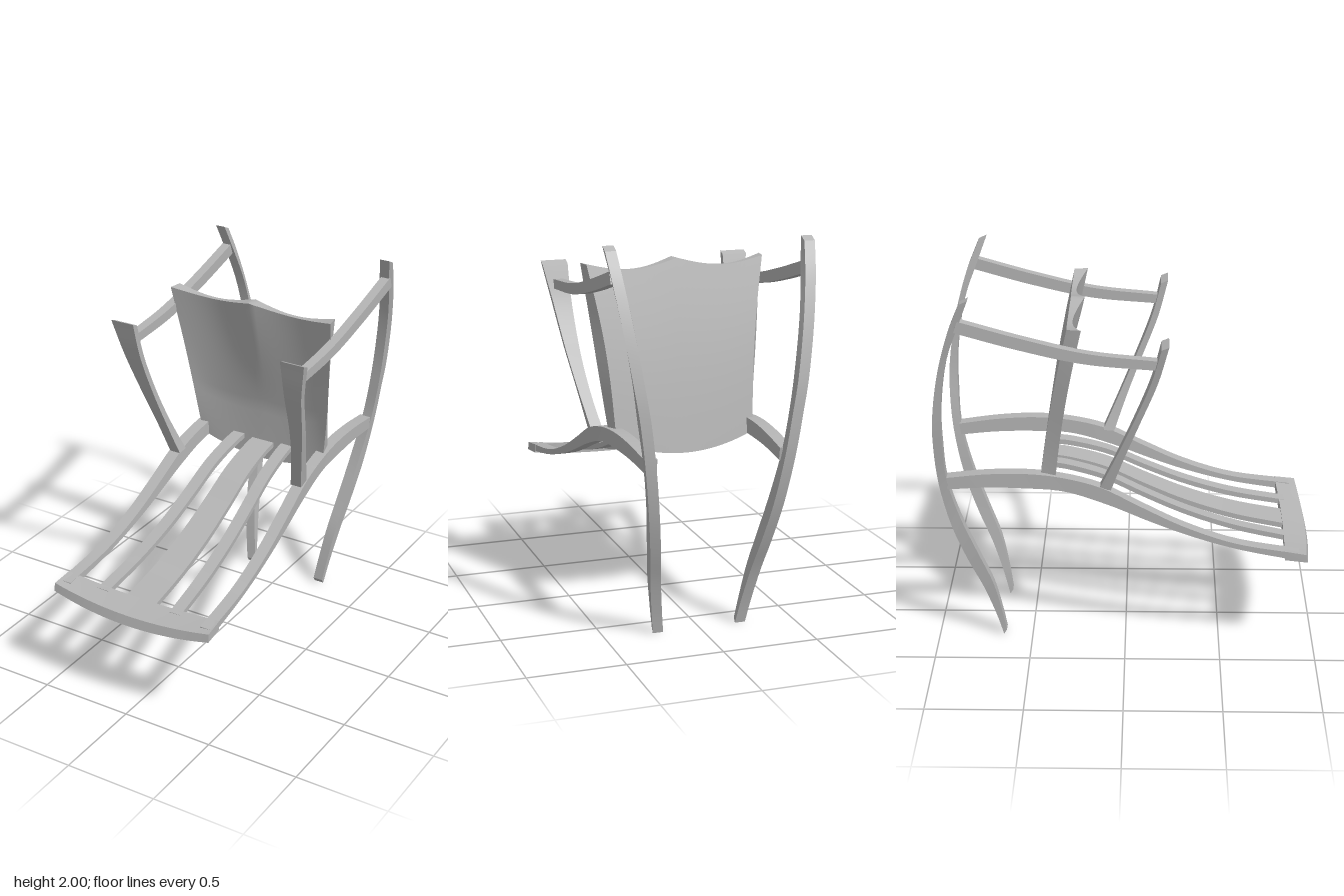
import * as THREE from 'three';
import { toCreasedNormals } from 'three/addons/utils/BufferGeometryUtils.js';

// Skin a list of equal-length rings and close both ends.
function loft(rings) {
  const N = rings[0].length, pos = [];
  const tri = (a, b, c) => pos.push(...a, ...b, ...c);
  const quad = (a, b, c, d) => { tri(a, b, c); tri(a, c, d); };
  for (let i = 0; i < rings.length - 1; i++) {
    for (let j = 0; j < N; j++) {
      const k = (j + 1) % N;
      quad(rings[i][j], rings[i][k], rings[i + 1][k], rings[i + 1][j]);
    }
  }
  const first = rings[0], last = rings[rings.length - 1];
  for (let j = 0; j < N / 2 - 1; j++) {
    quad(first[N - 1 - j], first[N - 2 - j], first[j + 1], first[j]);
    quad(last[j], last[j + 1], last[N - 2 - j], last[N - 1 - j]);
  }
  // Turn the corners round if the solid came out inside out.
  let volume = 0;
  const a = new THREE.Vector3(), b = new THREE.Vector3(), c = new THREE.Vector3();
  for (let i = 0; i < pos.length; i += 9) {
    a.fromArray(pos, i); b.fromArray(pos, i + 3); c.fromArray(pos, i + 6);
    volume += a.dot(b.cross(c));
  }
  if (volume < 0) {
    for (let i = 0; i < pos.length; i += 9) {
      for (let k = 0; k < 3; k++) {
        [pos[i + 3 + k], pos[i + 6 + k]] = [pos[i + 6 + k], pos[i + 3 + k]];
      }
    }
  }
  const g = new THREE.BufferGeometry();
  g.setAttribute('position', new THREE.Float32BufferAttribute(pos, 3));
  return toCreasedNormals(g, 0.6);
}

// Four-sided bar between two edge curves; each station is [zA, yA, zB, yB].
// span(z, y, t) gives its extent in x; side = -1 mirrors it.
function bar(stations, span, side = 1, steps = 28) {
  const curveA = new THREE.CatmullRomCurve3(stations.map(s => new THREE.Vector3(0, s[1], s[0])));
  const curveB = new THREE.CatmullRomCurve3(stations.map(s => new THREE.Vector3(0, s[3], s[2])));
  const rings = [];
  for (let i = 0; i <= steps; i++) {
    const t = i / steps, p = curveA.getPoint(t), q = curveB.getPoint(t);
    const [x0, x1] = span((p.z + q.z) / 2, (p.y + q.y) / 2, t);
    rings.push([[side * x0, p.y, p.z], [side * x1, p.y, p.z],
      [side * x1, q.y, q.z], [side * x0, q.y, q.z]]);
  }
  return loft(rings);
}

const longLeg = [
  [-0.755, 2.0, -0.797, 1.98], [-0.80, 1.88, -0.862, 1.82], [-0.878, 1.66, -0.925, 1.59],
  [-0.92, 1.38, -0.964, 1.33], [-0.922, 1.18, -0.968, 1.18], [-0.912, 0.985, -0.953, 0.96],
  [-0.857, 0.757, -0.90, 0.70], [-0.77, 0.52, -0.825, 0.485], [-0.70, 0.334, -0.75, 0.31],
  [-0.66, 0.15, -0.69, 0.13], [-0.64, 0.025, -0.656, 0.0],
];
const rail = [
  [-0.92, 0.99, -0.91, 0.926], [-0.71, 1.016, -0.71, 0.942], [-0.52, 1.024, -0.52, 0.943],
  [-0.34, 1.01, -0.31, 0.93], [-0.127, 0.958, -0.085, 0.86], [0.085, 0.852, 0.12, 0.775],
  [0.296, 0.75, 0.32, 0.70], [0.56, 0.66, 0.57, 0.628], [0.90, 0.608, 0.90, 0.568],
];
const shortLeg = [
  [0.217, 1.78, 0.18, 1.765], [0.164, 1.577, 0.13, 1.575], [0.074, 1.34, 0.035, 1.33],
  [0.0, 1.145, -0.05, 1.13], [-0.072, 0.94, -0.132, 0.945],
];
const arm = [
  [-0.81, 1.888, -0.83, 1.83], [-0.5, 1.80, -0.52, 1.743],
  [-0.18, 1.725, -0.2, 1.672], [0.165, 1.688, 0.155, 1.64],
];
// Slats run midway through the depth of the rails.
const slatPath = lift => [
  [-0.38, 0.973], [-0.3, 0.962], [-0.105, 0.909], [0.1, 0.814],
  [0.308, 0.725], [0.565, 0.644], [0.86, 0.585],
].map(([z, y]) => [z, y + lift + 0.014, z, y + lift - 0.014]);

// Dished panel: two hollows with a centre peak along its upper edge.
function seatPanel() {
  const rings = [], across = 32, rows = 24;
  for (let i = 0; i <= rows; i++) {
    const v = i / rows, front = [], back = [];
    const half = 0.375 + 0.105 * Math.pow(v, 0.85), bow = Math.sin(Math.PI * v);
    const w = THREE.MathUtils.smoothstep(v, 0.35, 1);
    for (let j = 0; j <= across; j++) {
      const u = -1 + 2 * j / across;
      const h = Math.sin(Math.PI * Math.abs(u));
      const y = THREE.MathUtils.lerp(0.87 + 0.08 * u * u, 1.84 - 0.04 * h - 0.008 * Math.abs(u), v);
      const dish = THREE.MathUtils.lerp(0.035 * (1 - u ** 4) * Math.min(1, 3 * v), 0.045 * h, w);
      front.push([u * half, y, -0.212 - (1.835 - y) * 0.168 - 0.015 * bow - dish]);
      back.push([u * (half - 0.012 - 0.025 * bow), y, -0.283 - (1.835 - y) * 0.175 - 0.012 * bow]);
    }
    rings.push([...front, ...back.reverse()]);
  }
  return loft(rings);
}

// Bowed crosspiece joining the low ends of the rails.
function crestRail() {
  const rings = [];
  for (let i = 0; i <= 24; i++) {
    const u = -1 + i / 12, b = 1 - u * u;
    rings.push([
      [u * 0.463, 0.605 - 0.035 * b, 0.935 + 0.022 * b],
      [u * 0.455, 0.62 - 0.012 * b, 0.822 + 0.013 * b],
      [u * 0.455, 0.57 - 0.03 * b, 0.825 + 0.01 * b],
      [u * 0.465, 0.562 - 0.042 * b, 0.942 + 0.028 * b],
    ]);
  }
  return loft(rings);
}

export function createModel() {
  const group = new THREE.Group();
  group.name = 'recliningChair';
  const grey = new THREE.MeshStandardMaterial({ color: 0xb4b4b4 });
  grey.name = 'grey';
  const add = (name, geometry) => {
    const mesh = new THREE.Mesh(geometry, grey);
    mesh.name = name;
    group.add(mesh);
  };

  // Mirrored side frames
  for (const [label, s] of [['left', 1], ['right', -1]]) {
    add(label + 'LongLeg', bar(longLeg, (z, y) => [0.193 + 0.1425 * y, 0.248 + 0.1425 * y], s, 40));
    add(label + 'Rail', bar(rail, z => [0.354 + 0.042 * z, 0.419 + 0.042 * z], s, 36));
    add(label + 'ShortLeg', bar(shortLeg, (z, y, t) => [
      0.432 - 0.087 * Math.pow(t, 2.2), 0.567 - 0.16 * t], s));
    add(label + 'Arm', bar(arm, () => [0.465, 0.515], s));
    add(label + 'Slat', bar(slatPath(0.006), z => [0.136 + 0.058 * z, 0.204 + 0.055 * z], s));
  }

  // Centre parts
  add('centreSlat', bar(slatPath(-0.004), z => [-0.073 - 0.017 * z, 0.073 + 0.017 * z]));
  add('crestRail', crestRail());
  add('seatPanel', seatPanel());
  return group;
}
